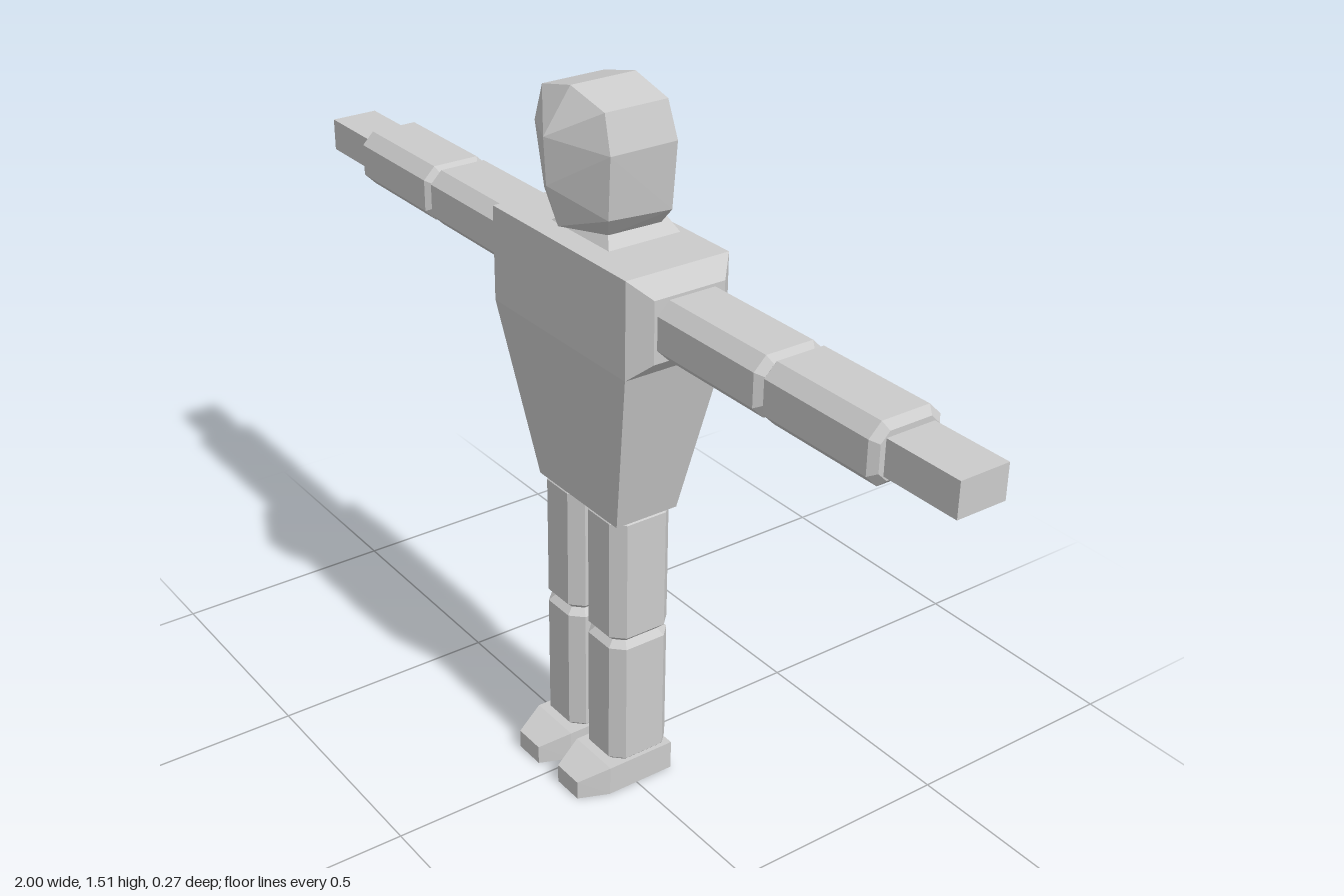
import * as THREE from 'three';
import { ConvexGeometry } from 'three/addons/geometries/ConvexGeometry.js';

const material = new THREE.MeshStandardMaterial({ color: 0xcccccc, flatShading: true });

// Horizontal ring: half width w, half depth d, corner chamfer c, centred on z = cz
function ring(y, w, d, cz = 0, c = 0) {
  const pts = c
    ? [[w, d - c], [w, c - d], [w - c, -d], [c - w, -d], [-w, c - d], [-w, d - c], [c - w, d], [w - c, d]]
    : [[w, d], [w, -d], [-w, -d], [-w, d]];
  return pts.map(([x, z]) => [x, y, z + cz]);
}

// Closed faceted solid through a stack of rings
function loft(rings) {
  const v = [];
  const tri = (a, b, c) => v.push(...a, ...b, ...c);
  const n = rings[0].length;
  for (let k = 0; k < rings.length - 1; k++) {
    const p = rings[k], q = rings[k + 1];
    for (let i = 0; i < n; i++) {
      const j = (i + 1) % n;
      tri(p[i], p[j], q[j]);
      tri(p[i], q[j], q[i]);
    }
  }
  const bottom = rings[0], top = rings[rings.length - 1];
  for (let i = 1; i < n - 1; i++) {
    tri(top[0], top[i], top[i + 1]);
    tri(bottom[0], bottom[i + 1], bottom[i]);
  }
  const g = new THREE.BufferGeometry();
  g.setAttribute('position', new THREE.Float32BufferAttribute(v, 3));
  g.computeVertexNormals();
  return g;
}

// Eight-sided limb segment with bevelled ends
function limb(from, to, w, d) {
  const b = 0.014, c = 0.026;
  return loft([
    ring(from, w - b, d - b, 0, c - b / 2),
    ring(from + b, w, d, 0, c),
    ring(to - b, w, d, 0, c),
    ring(to, w - b, d - b, 0, c - b / 2),
  ]);
}

// Convex solid from half a set of points, mirrored in x
function mirroredHull(points) {
  const all = points.flatMap(([x, y, z]) => (x ? [[x, y, z], [-x, y, z]] : [[x, y, z]]));
  return new ConvexGeometry(all.map((p) => new THREE.Vector3(...p)));
}

function add(parent, name, geometry, x = 0, y = 0, z = 0) {
  const mesh = new THREE.Mesh(geometry, material);
  mesh.name = name;
  mesh.position.set(x, y, z);
  parent.add(mesh);
  return mesh;
}

export function createModel() {
  const model = new THREE.Group();
  model.name = 'figure';

  // Torso and neck
  add(model, 'torso', loft([
    ring(0.65, 0.135, 0.073, -0.018),
    ring(1.02, 0.22, 0.117, -0.018),
    ring(1.22, 0.22, 0.117, -0.018),
  ]));
  add(model, 'neck', loft([ring(1.215, 0.1, 0.085, -0.035), ring(1.245, 0.065, 0.068, -0.04)]));

  // Faceted head
  add(model, 'head', mirroredHull([
    [0, 1.515, 0.065], [0, 1.515, -0.08],
    [0.1, 1.49, 0.06], [0.1, 1.49, -0.08],
    [0.122, 1.415, 0.063], [0.122, 1.415, -0.087],
    [0.105, 1.285, 0.055], [0.105, 1.275, -0.09],
    [0.07, 1.24, 0.03], [0.07, 1.237, -0.09],
    [0, 1.43, 0.125], [0, 1.335, 0.12], [0, 1.25, 0.095],
    [0, 1.43, -0.127], [0, 1.237, -0.112],
  ]));

  const foot = mirroredHull([
    [0.0625, 0, -0.09], [0.0625, 0.066, -0.09],
    [0.0625, 0, 0.07], [0.0625, 0.066, 0.068],
    [0.036, 0, 0.135], [0.036, 0.042, 0.135],
  ]);
  const thigh = limb(0.365, 0.66, 0.0625, 0.073);
  const shin = limb(0.062, 0.365, 0.0625, 0.073);
  const upperArm = limb(0.245, 0.545, 0.06, 0.078);
  const forearm = limb(0.545, 0.833, 0.06, 0.078);
  const hand = new THREE.BoxGeometry(0.07, 0.18, 0.105).translate(0, 0.91, 0);
  const shoulder = loft([ring(0.22, 0.1, 0.117, 0.004), ring(0.255, 0.064, 0.08, 0.002)]);

  for (const [side, s] of [['left', 1], ['right', -1]]) {
    // Arm, built upright and laid out sideways
    const arm = new THREE.Group();
    arm.name = side + 'Arm';
    arm.position.set(0, 1.12, -0.022);
    arm.rotation.z = -s * Math.PI / 2;
    add(arm, side + 'Shoulder', shoulder);
    add(arm, side + 'UpperArm', upperArm);
    add(arm, side + 'Forearm', forearm);
    add(arm, side + 'Hand', hand);
    model.add(arm);

    // Leg
    const leg = new THREE.Group();
    leg.name = side + 'Leg';
    leg.position.x = s * 0.0735;
    add(leg, side + 'Thigh', thigh, 0, 0, -0.018);
    add(leg, side + 'Shin', shin, 0, 0, -0.018);
    add(leg, side + 'Foot', foot);
    model.add(leg);
  }
  return model;
}
